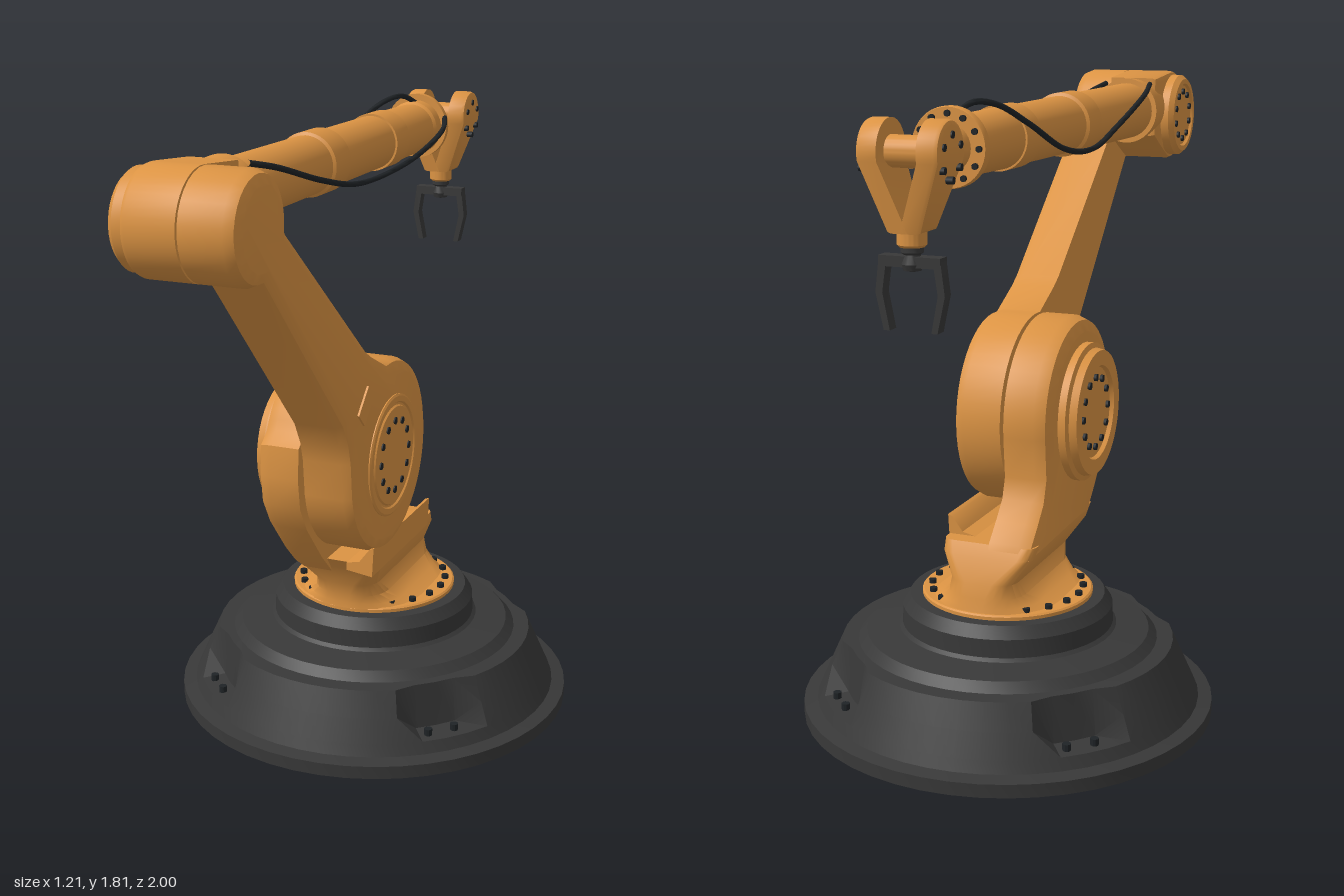
import * as THREE from 'three';
import { toCreasedNormals } from 'three/addons/utils/BufferGeometryUtils.js';

const mat = (name, color, side = THREE.FrontSide) => {
  const m = new THREE.MeshStandardMaterial({ color, side });
  m.name = name;
  return m;
};

export function createModel() {
  const orange = mat('orange paint', 0xdb9343);
  const charcoal = mat('charcoal metal', 0x383838, THREE.DoubleSide);
  const black = mat('black rubber', 0x1f2326);
  const root = new THREE.Group();
  root.name = 'robotArm';

  const add = (name, geo, material, crease = 0.6) => {
    const mesh = new THREE.Mesh(toCreasedNormals(geo, crease), material);
    mesh.name = name;
    root.add(mesh);
    return mesh;
  };

  // Arc as [z, y] points, angles in degrees from +z
  const arc = (cz, cy, r, a0, a1, n = 24) => Array.from({ length: n + 1 }, (_, i) => {
    const a = THREE.MathUtils.degToRad(a0 + (a1 - a0) * i / n);
    return [cz + r * Math.cos(a), cy + r * Math.sin(a)];
  });

  // Side outline of [z, y] points extruded over x0..x1; chamfer on outer side only (side = +1 / -1)
  const slab = (pts, x0, x1, bevel, side) => {
    const shape = new THREE.Shape(pts.map(([z, y]) => new THREE.Vector2(-z, y)));
    const geo = new THREE.ExtrudeGeometry(shape, {
      depth: x1 - x0 - bevel, bevelEnabled: true, bevelSize: bevel, bevelThickness: bevel,
      bevelOffset: -bevel, bevelSegments: 2
    });
    geo.rotateY(Math.PI / 2).translate(side > 0 ? x0 : x0 + bevel, 0, 0);
    const p = geo.attributes.position;
    for (let i = 0; i < p.count; i++) p.setX(i, THREE.MathUtils.clamp(p.getX(i), x0, x1));
    return geo;
  };

  // Turned part from [radius, position] points, position increasing along the axis
  const turned = (pts, axis, segments = 40) => {
    const geo = new THREE.LatheGeometry(pts.map(([r, h]) => new THREE.Vector2(r, h)), segments);
    if (axis === 'x') geo.rotateZ(-Math.PI / 2);
    if (axis === 'z') geo.rotateX(Math.PI / 2);
    return geo;
  };

  // Ring of bolts in the xy plane facing +z, then turned into place
  const boltRing = (name, n, R, r, h, position, rotation) => {
    const group = new THREE.Group();
    group.name = name;
    const geo = new THREE.CylinderGeometry(r, r, h, 10).rotateX(Math.PI / 2);
    for (let i = 0; i < n; i++) {
      const a = i / n * Math.PI * 2 + Math.PI / 2;
      const bolt = new THREE.Mesh(geo, black);
      bolt.name = 'bolt';
      bolt.position.set(R * Math.cos(a), R * Math.sin(a), 0);
      group.add(bolt);
    }
    group.position.set(...position);
    group.rotation.set(...rotation);
    root.add(group);
  };
  const RIGHT = [0, Math.PI / 2, 0], LEFT = [0, -Math.PI / 2, 0], UP = [-Math.PI / 2, 0, 0];
  const baseZ = -0.16;

  // Hollow pedestal with four pockets pressed into the slope
  const profile = [[0.585, 0], [0.605, 0.003], [0.605, 0.042], [0.565, 0.05], [0.55, 0.083], [0.52, 0.15],
    [0.487, 0.222], [0.44, 0.224], [0.415, 0.25], [0.32, 0.263], [0.31, 0.272], [0.308, 0.325],
    [0.285, 0.358], [0, 0.36]];
  const pocket = { 5: [0.48, 0.09], 6: [0.465, 0.222] };
  const segs = 48;
  const baseGeo = turned(profile, 'y', segs);
  const bp = baseGeo.attributes.position;
  for (let s = 0; s <= segs; s++) {
    if (Math.abs((s % 12) - 6) > 1) continue;
    const a = s / segs * Math.PI * 2;
    for (const k in pocket) {
      const [r, y] = pocket[k];
      bp.setXYZ(s * profile.length + Number(k), r * Math.sin(a), y, r * Math.cos(a));
    }
  }
  add('pedestal', baseGeo.translate(0, 0, baseZ), charcoal, 0.5);
  for (let i = 0; i < 4; i++) for (const d of [-0.08, 0.08]) {
    const a = Math.PI / 4 + i * Math.PI / 2 + d;
    add('footBolt', new THREE.CylinderGeometry(0.012, 0.012, 0.02, 10)
      .translate(0.517 * Math.sin(a), 0.095, baseZ + 0.517 * Math.cos(a)), black);
  }

  // Turntable
  add('turntable', turned([[0, 0.34], [0.25, 0.34], [0.25, 0.368], [0.245, 0.372], [0, 0.372]], 'y', 48)
    .translate(0, 0, baseZ), orange);
  boltRing('turntableBolts', 20, 0.222, 0.011, 0.016, [0, 0.376, baseZ], UP);

  // Foot: rounded rectangles [y, x0, x1, z0, z1, corner] lofted upwards
  const loft = (sections, n = 6) => {
    const pos = [], idx = [], m = 4 * (n + 1);
    for (const [y, x0, x1, z0, z1, r] of sections) {
      const corners = [[x1 - r, z1 - r], [x0 + r, z1 - r], [x0 + r, z0 + r], [x1 - r, z0 + r]];
      corners.forEach(([cx, cz], q) => {
        for (let i = 0; i <= n; i++) {
          const a = (q + i / n) * Math.PI / 2;
          pos.push(cx + r * Math.cos(a), y, cz + r * Math.sin(a));
        }
      });
    }
    const top = (sections.length - 1) * m;
    for (let j = 0; j < m; j++) {
      const k = (j + 1) % m;
      for (let b = 0; b < top; b += m) idx.push(b + j, b + m + j, b + k, b + k, b + m + j, b + m + k);
      if (j > 0 && j < m - 1) idx.push(top, top + k, top + j);
    }
    const geo = new THREE.BufferGeometry();
    geo.setAttribute('position', new THREE.Float32BufferAttribute(pos, 3));
    geo.setIndex(idx);
    return geo;
  };
  add('foot', loft([[0.368, -0.2, 0.2, -0.4, 0.09, 0.19], [0.385, -0.15, 0.15, -0.395, 0.088, 0.13],
    [0.41, -0.115, 0.115, -0.39, 0.09, 0.09], [0.45, -0.1, 0.1, -0.38, 0.1, 0.06],
    [0.52, -0.145, 0.13, -0.35, 0.14, 0.04], [0.553, -0.148, 0.13, -0.33, 0.165, 0.03]]), orange);
  const lip = new THREE.Shape([[0.05, 0.53], [0.13, 0.52], [0.135, 0.61], [0.122, 0.605], [0.09, 0.562], [0.05, 0.553]]
    .map(p => new THREE.Vector2(...p)));
  add('footLip', new THREE.ExtrudeGeometry(lip, { depth: 0.45, bevelEnabled: false }).translate(0, 0, -0.28), orange);

  // Shoulder upright with its drive cover
  const sz = 0.055, sy = 0.862, ez = 0.86, ey = 1.67;
  add('shoulderUpright', slab([...arc(sz, sy, 0.282, 25, 185), [-0.215, 0.72], [-0.235, 0.66], [-0.28, 0.61],
    [-0.33, 0.56], [-0.35, 0.51], [0.13, 0.5], [0.2, 0.57], [0.3, 0.69], [0.345, 0.77], [0.357, 0.86], [0.35, 0.95]],
    -0.15, -0.015, 0.045, -1), orange);
  add('shoulderCover', turned([[0, -0.188], [0.135, -0.188], [0.14, -0.2], [0.185, -0.2], [0.19, -0.178],
    [0.205, -0.172], [0.205, -0.14]], 'x').translate(0, sy, sz), orange, 0.4);
  boltRing('shoulderCoverBolts', 12, 0.105, 0.011, 0.016, [-0.188, sy, sz], LEFT);
  add('shoulderPivot', turned([[0.2, -0.03], [0.2, 0.02]], 'x').translate(0, sy, sz), orange);

  // Lower arm from shoulder to elbow
  add('lowerArm', slab([...arc(ez, ey, 0.14, -95, 185), [0.72, 1.64], [0.23, 1.225], [0.19, 1.2],
    ...arc(sz, sy, 0.284, 85, 350, 36), [0.345, 0.92], [0.36, 0.975], [0.395, 1.04]],
    -0.005, 0.145, 0.035, 1), orange, 0.5);
  add('shoulderCap', turned([[0.18, 0.14], [0.18, 0.148], [0.174, 0.152], [0.158, 0.152], [0.154, 0.147],
    [0.148, 0.147], [0.144, 0.152], [0, 0.152]], 'x').translate(0, sy, sz), orange, 0.4);
  boltRing('shoulderCapBolts', 12, 0.105, 0.011, 0.01, [0.151, sy, sz], RIGHT);
  const hatch = add('armHatch', new THREE.BoxGeometry(0.012, 0.095, 0.057), orange);
  hatch.position.set(0.145, 1.07, 0.26);
  hatch.rotation.x = -Math.PI / 4;

  // Elbow housing
  add('elbowHousing', slab([...arc(ez, ey, 0.14, -100, 95), [0.68, 1.795], [0.68, 1.615], [0.76, 1.57]],
    -0.16, -0.01, 0.015, -1), orange);
  add('elbowCover', turned([[0, -0.192], [0.095, -0.192], [0.1, -0.2], [0.115, -0.2], [0.128, -0.185],
    [0.128, -0.15]], 'x').translate(0, ey, ez), orange, 0.4);
  boltRing('elbowCoverBolts', 10, 0.075, 0.01, 0.014, [-0.192, ey, ez], LEFT);
  add('elbowPivot', turned([[0.11, -0.03], [0.11, 0.02]], 'x').translate(0, ey, ez), orange);

  // Forearm tube, collars, flange and wrist cone
  const fx = -0.083, fy = 1.7;
  add('forearm', turned([[0, -0.7], [0.083, -0.7], [0.083, -0.655], [0.076, -0.645], [0.08, -0.42], [0.085, -0.42],
    [0.085, -0.32], [0.079, -0.32], [0.081, 0.03], [0.09, 0.035], [0.09, 0.135], [0.082, 0.14], [0.085, 0.615],
    [0.1, 0.615], [0.1, 0.635], [0.086, 0.76], [0, 0.76]], 'z').translate(fx, fy - 0.003, 0), orange);
  add('wristFlange', turned([[0, -0.72], [0.098, -0.72], [0.1, -0.715], [0.1, -0.695], [0.09, -0.695], [0, -0.695]], 'z')
    .translate(fx, fy, 0), orange);
  boltRing('flangeBolts', 12, 0.083, 0.008, 0.012, [fx, fy, -0.722], [0, Math.PI, 0]);
  add('wristCone', turned([[0, -0.92], [0.03, -0.92], [0.036, -0.85], [0.06, -0.74], [0.06, -0.71]], 'z')
    .translate(fx, fy, 0), orange);

  // Wrist fork: two cheeks leaning in to a collar
  const wz = -0.925, wy = 1.71;
  add('wristAxle', turned([[0, -0.07], [0.038, -0.07], [0.038, 0.07], [0, 0.07]], 'x').translate(fx, wy, wz), orange);
  for (const s of [-1, 1]) {
    const geo = slab([...arc(wz, wy, 0.077, -15, 195), [wz - 0.045, 1.525], [wz + 0.045, 1.525]],
      s > 0 ? 0.05 : -0.105, s > 0 ? 0.105 : -0.05, 0.012, s);
    const p = geo.attributes.position;
    for (let i = 0; i < p.count; i++) p.setX(i, p.getX(i) - s * Math.max(0, 1.66 - p.getY(i)) * 0.45);
    add('wristCheek', geo.translate(fx, 0, 0), orange);
    boltRing('cheekBolts', 6, 0.052, 0.009, 0.018, [fx + s * 0.1, wy - 0.01, wz], s > 0 ? RIGHT : LEFT);
  }
  add('toolCollar', turned([[0, 1.49], [0.03, 1.49], [0.036, 1.496], [0.036, 1.53], [0.045, 1.54], [0.045, 1.56], [0, 1.56]], 'y')
    .translate(fx, 0, wz), orange);

  // Gripper
  add('gripperNeck', turned([[0, 1.43], [0.022, 1.435], [0.027, 1.45], [0.02, 1.472], [0.028, 1.478], [0.028, 1.492]], 'y', 20)
    .translate(fx, 0, wz), charcoal);
  add('gripperBar', new THREE.BoxGeometry(0.16, 0.026, 0.036).translate(fx, 1.456, wz), charcoal);
  for (const s of [-1, 1]) {
    const finger = new THREE.Shape([[0.06, 1.46], [0.08, 1.46], [0.09, 1.38], [0.07, 1.29], [0.054, 1.29], [0.072, 1.38]]
      .map(([x, y]) => new THREE.Vector2(s * x, y)));
    add('gripperFinger', new THREE.ExtrudeGeometry(finger, { depth: 0.034, bevelEnabled: false })
      .translate(fx, 0, wz - 0.017), charcoal);
  }

  // Slack cables along both sides of the forearm
  const cable = (name, pts) => add(name, new THREE.TubeGeometry(
    new THREE.CatmullRomCurve3(pts.map(p => new THREE.Vector3(...p))), 60, 0.008, 8), black, 1.2);
  cable('rightCable', [[-0.01, 1.78, 0.63], [0.01, 1.755, 0.52], [0.015, 1.68, 0.25], [0.015, 1.635, 0.03],
    [0.022, 1.63, -0.15], [0.035, 1.655, -0.4], [0.04, 1.705, -0.6], [0.01, 1.73, -0.7]]);
  cable('leftCable', [[-0.155, 1.78, 0.63], [-0.175, 1.755, 0.52], [-0.18, 1.68, 0.25], [-0.185, 1.635, 0.03],
    [-0.185, 1.655, -0.2], [-0.165, 1.735, -0.4], [-0.13, 1.79, -0.52], [-0.1, 1.802, -0.61], [-0.08, 1.77, -0.69]]);

  return root;
}
